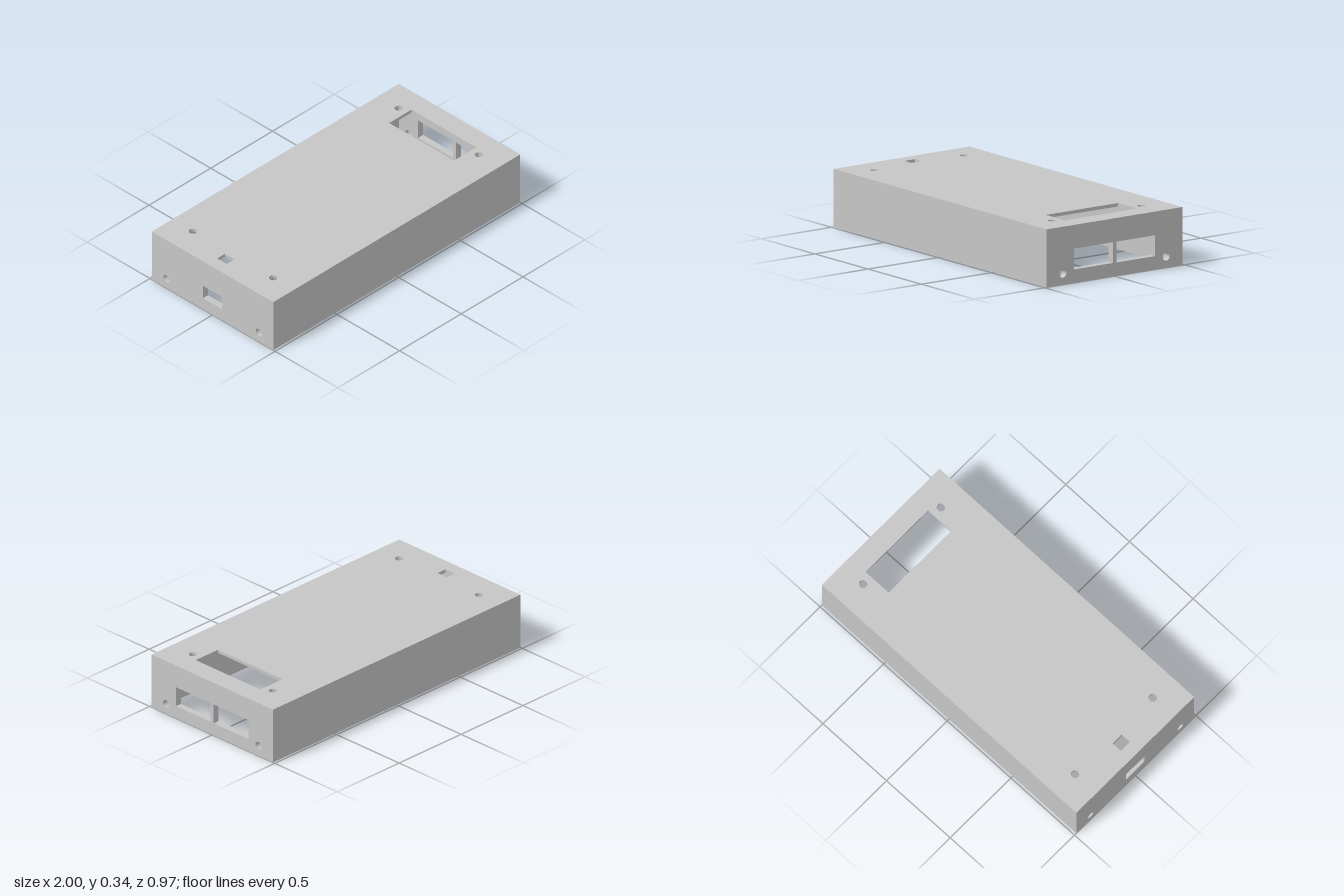
import * as THREE from 'three';

const LENGTH = 2, WIDTH = 0.97, HEIGHT = 0.338;
const WALL = 0.04, TOP = 0.02;
const INNER = HEIGHT - TOP;

// Closed rectangular outline
function rect(Kind, x0, y0, x1, y1) {
  const p = new Kind();
  p.moveTo(x0, y0);
  p.lineTo(x1, y0);
  p.lineTo(x1, y1);
  p.lineTo(x0, y1);
  p.closePath();
  return p;
}

function circle(x, y, r) {
  return new THREE.Path().absarc(x, y, r, 0, Math.PI * 2, true);
}

// Rectangular panel with cut-outs
function panel(x0, y0, x1, y1, holes, depth) {
  const shape = rect(THREE.Shape, x0, y0, x1, y1);
  shape.holes.push(...holes);
  return new THREE.ExtrudeGeometry(shape, { depth, bevelEnabled: false, curveSegments: 16 });
}

export function createModel() {
  const group = new THREE.Group();
  group.name = 'enclosure';
  const grey = new THREE.MeshStandardMaterial({ color: 0xc6c6c6 });
  grey.name = 'light grey plastic';

  const add = (name, geometry, x, y, z) => {
    const mesh = new THREE.Mesh(geometry, grey);
    mesh.name = name;
    mesh.position.set(x, y, z);
    group.add(mesh);
  };

  // Top plate: display slot, small switch hole and four screw holes
  const topHoles = [
    rect(THREE.Path, 0.693, -0.258, 0.873, 0.258),
    rect(THREE.Path, -0.923, -0.038, -0.86, 0.038),
  ];
  for (const x of [-0.833, 0.833])
    for (const z of [-0.32, 0.32]) topHoles.push(circle(x, z, 0.024));
  const top = panel(-LENGTH / 2, -WIDTH / 2, LENGTH / 2, WIDTH / 2, topHoles, TOP);
  top.rotateX(-Math.PI / 2);
  add('topPlate', top, 0, INNER, 0);

  // End walls: port windows and a pair of screw holes each
  const endWall = (name, windows, x) => {
    const holes = windows.map((w) => rect(THREE.Path, ...w));
    for (const z of [-0.369, 0.369]) holes.push(circle(z, 0.065, 0.024));
    const wall = panel(-WIDTH / 2, 0, WIDTH / 2, INNER, holes, WALL);
    wall.rotateY(Math.PI / 2);
    add(name, wall, x, 0, 0);
  };
  endWall('leftEndWall', [[-0.29, 0.079, -0.012, 0.2], [0.012, 0.079, 0.29, 0.2]], LENGTH / 2 - WALL);
  endWall('rightEndWall', [[-0.076, 0.079, 0.076, 0.166]], -LENGTH / 2);

  // Plain long walls between the ends; the underside stays open
  for (const [name, s] of [['frontWall', 1], ['backWall', -1]]) {
    add(name, new THREE.BoxGeometry(LENGTH - 2 * WALL, INNER, WALL), 0, INNER / 2, s * (WIDTH - WALL) / 2);
  }

  return group;
}
